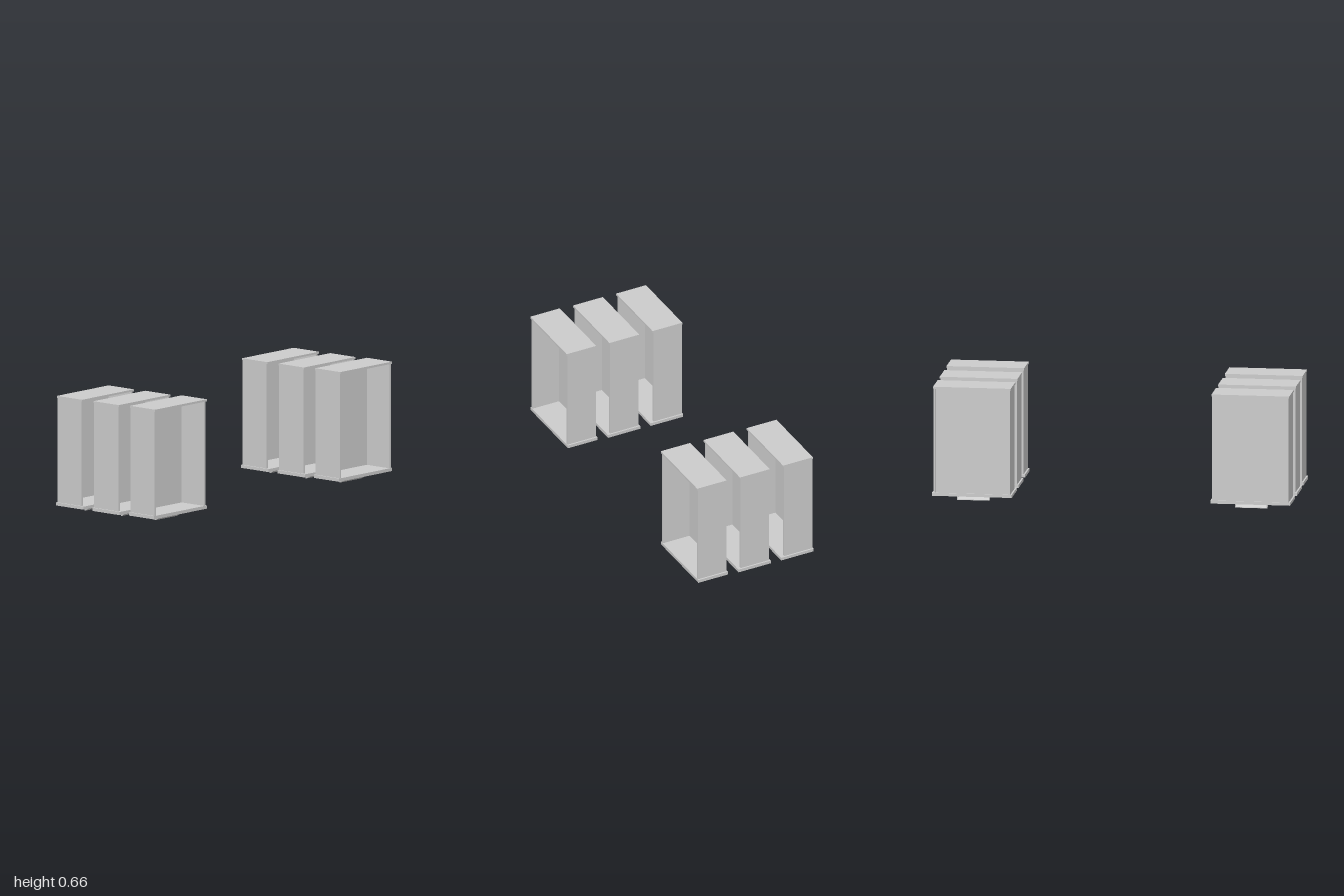
import * as THREE from 'three';

const material = new THREE.MeshStandardMaterial({ color: 0xcccccc, flatShading: true });

// Box given by its limits on each axis
function slab(name, [x0, x1], [y0, y1], [z0, z1]) {
  const mesh = new THREE.Mesh(new THREE.BoxGeometry(x1 - x0, y1 - y0, z1 - z0), material);
  mesh.position.set((x0 + x1) / 2, (y0 + y1) / 2, (z0 + z1) / 2);
  mesh.name = name;
  return mesh;
}

// Side profile of [z, y] points, extruded across x and centred on x
function profile(name, points, width, x) {
  const shape = new THREE.Shape(points.map(([z, y]) => new THREE.Vector2(z, y)));
  const geometry = new THREE.ExtrudeGeometry(shape, { depth: width, bevelEnabled: false });
  geometry.translate(0, 0, -width / 2).rotateY(-Math.PI / 2);
  const mesh = new THREE.Mesh(geometry, material);
  mesh.position.x = x;
  mesh.name = name;
  return mesh;
}

// Scoop pull: a slanted plate closed by two cheeks, open to the back
function makePull(x, top, tip, front, back) {
  const pull = new THREE.Group();
  pull.name = 'pull';
  const lip = top - 0.011, width = 0.181, cheek = 0.004;
  pull.add(profile('pullPlate', [
    [front, top], [front, lip], [back + 0.003, tip], [back, tip + 0.001],
    [back, tip + 0.004], [front - 0.004, lip + 0.003], [front - 0.004, top],
  ], width, x));
  for (const s of [-1, 1]) {
    pull.add(profile('pullCheek', [
      [front, top], [front, lip], [back + 0.003, tip], [back, tip + 0.001], [back, top],
    ], cheek, x + s * (width - cheek) / 2));
  }
  return pull;
}

// One open-fronted bin standing on a wider base
function makeBin(x, pullX, row) {
  const bin = new THREE.Group();
  bin.name = 'bin';
  const half = 0.214, wall = 0.012;
  const [z0, z1] = row.body;
  const height = [row.base[1], row.lid[0]];
  bin.add(slab('base', [x - 0.223, x + 0.223], row.base, row.baseZ));
  bin.add(slab('lid', [x - 0.217, x + 0.217], row.lid, row.lidZ));
  for (const s of [-1, 1]) {
    const inner = x + s * (half - wall), outer = x + s * half;
    bin.add(slab('sideWall', [Math.min(inner, outer), Math.max(inner, outer)], height, row.body));
  }
  bin.add(slab('backPanel', [x - half + wall, x + half - wall], height, [z0 + 0.002, z0 + 0.012]));
  bin.add(makePull(pullX, row.base[0], row.tip, row.pull[0], row.pull[1]));
  return bin;
}

export function createModel() {
  const model = new THREE.Group();
  model.name = 'binSet';
  // Front, middle and back rows, each slightly different in height and base depth
  const rows = [
    { body: [0.179, 0.357], base: [0.048, 0.066], baseZ: [0.175, 0.359],
      lid: [0.652, 0.664], lidZ: [0.179, 0.363], pull: [0.293, 0.243], tip: 0.011 },
    { body: [-0.088, 0.09], base: [0.042, 0.06], baseZ: [-0.093, 0.108],
      lid: [0.647, 0.658], lidZ: [-0.09, 0.096], pull: [0.045, -0.005], tip: 0.005 },
    { body: [-0.357, -0.181], base: [0.041, 0.058], baseZ: [-0.361, -0.158],
      lid: [0.645, 0.656], lidZ: [-0.359, -0.173], pull: [-0.222, -0.272], tip: 0.003 },
  ];
  for (const row of rows) {
    model.add(makeBin(-0.777, -0.77, row));
    model.add(makeBin(0.777, 0.781, row));
  }
  return model;
}
